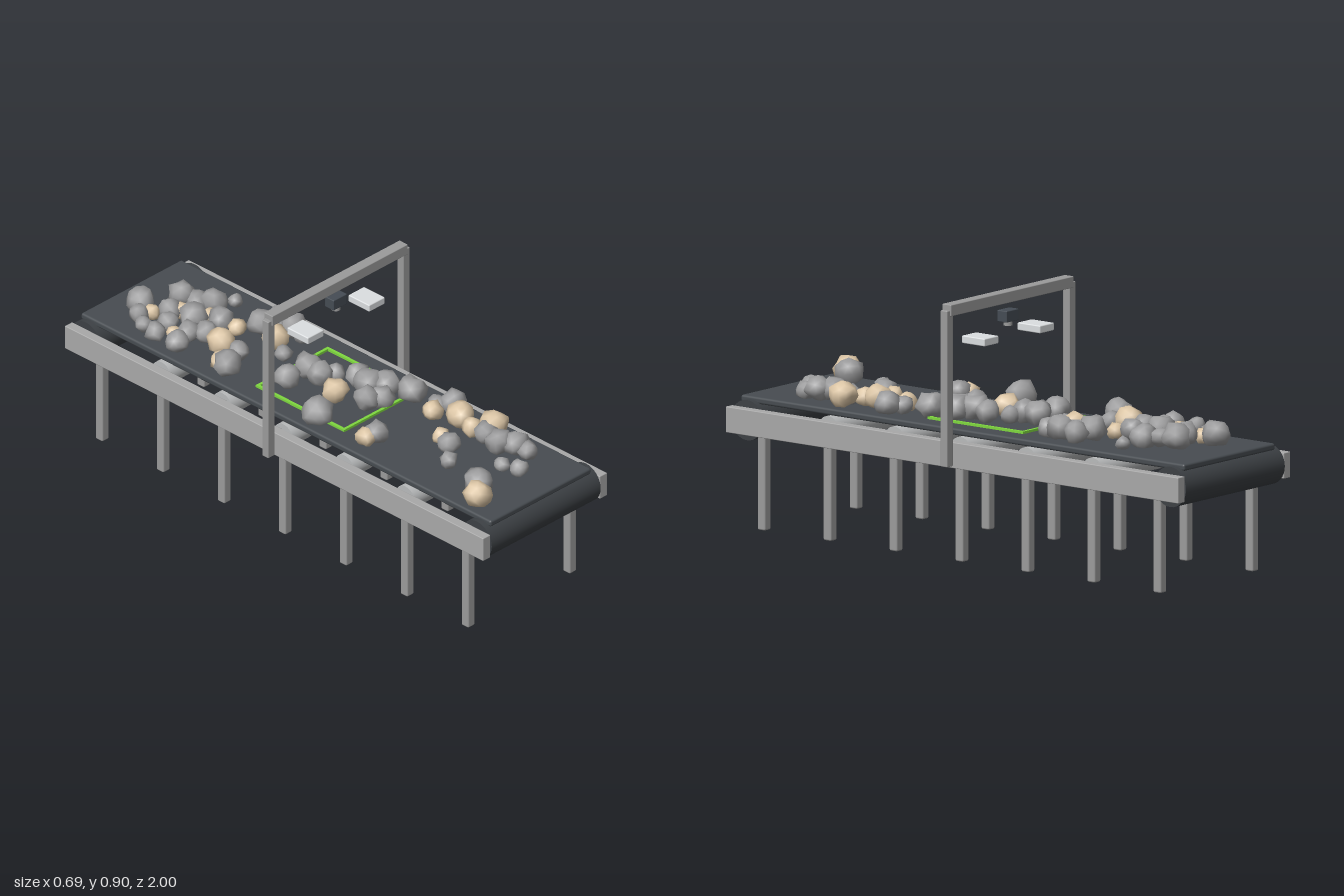
import * as THREE from 'three';
import { mergeVertices } from 'three/addons/utils/BufferGeometryUtils.js';
import { RoundedBoxGeometry } from 'three/addons/geometries/RoundedBoxGeometry.js';

const mat = (name, color) => {
  const m = new THREE.MeshStandardMaterial({ color });
  m.name = name;
  return m;
};

export function createModel() {
  const model = new THREE.Group();
  model.name = 'sortingConveyor';
  const steel = mat('steel grey', 0xa9a9a9);
  const legGrey = mat('leg grey', 0x9b9b9b);
  const rollerGrey = mat('roller grey', 0xb9bbbc);
  const beltDark = mat('belt charcoal', 0x474c51);
  const drumDark = mat('drum charcoal', 0x3d4145);
  const cameraDark = mat('camera slate', 0x454c54);
  const lampGrey = mat('lamp silver', 0xdcdfe1);
  const green = mat('marker green', 0x7fd83f);
  const stone = mat('stone grey', 0x9b9b9c);
  const sand = mat('sandstone', 0xdcc6a6);

  const add = (name, geometry, material, x, y, z, parent = model) => {
    const mesh = new THREE.Mesh(geometry, material);
    mesh.name = name;
    mesh.position.set(x, y, z);
    parent.add(mesh);
    return mesh;
  };
  const box = (w, h, d, r = 0.003) => new RoundedBoxGeometry(w, h, d, 2, r);
  const bar = (r, length) => new THREE.CylinderGeometry(r, r, length, 32).rotateZ(Math.PI / 2);

  // Conveyor bed
  add('belt', box(0.49, 0.024, 1.95, 0.008), beltDark, 0, 0.443, 0);
  for (const s of [-1, 1]) {
    add('endDrum', bar(0.07, 0.53), drumDark, 0, 0.375, s * 0.93);
    add('sideRail', box(0.036, 0.09, 1.99), steel, s * 0.284, 0.375, 0);
  }

  // Idler rollers and legs at a regular pitch
  for (let i = -3; i <= 3; i++) {
    const z = i * 0.29;
    if (Math.abs(i) < 3) add('idlerRoller', bar(0.045, 0.51), rollerGrey, 0, 0.386, z);
    for (const s of [-1, 1]) add('leg', box(0.034, 0.35, 0.034, 0.006), legGrey, s * 0.247, 0.175, z);
  }

  // Inspection gantry
  const gantry = new THREE.Group();
  gantry.name = 'gantry';
  model.add(gantry);
  add('gantryBeam', box(0.66, 0.04, 0.04), legGrey, 0, 0.882, 0, gantry);
  add('cameraBody', box(0.066, 0.04, 0.042), cameraDark, 0, 0.815, 0, gantry);
  add('cameraLens', new THREE.CylinderGeometry(0.016, 0.016, 0.016, 24), legGrey, 0, 0.788, 0, gantry);
  for (const s of [-1, 1]) {
    add('gantryPost', box(0.032, 0.542, 0.03), legGrey, s * 0.329, 0.611, 0, gantry);
    add('lamp', box(0.077, 0.027, 0.1, 0.004), lampGrey, s * 0.149, 0.753, 0, gantry);
  }

  // Scan zone outline on the belt
  for (const s of [-1, 1]) {
    add('scanZoneSide', new THREE.BoxGeometry(0.011, 0.009, 0.417), green, s * 0.17, 0.459, 0);
    add('scanZoneEnd', new THREE.BoxGeometry(0.351, 0.009, 0.011), green, 0, 0.459, s * 0.205);
  }

  // Lumpy rocks with smooth shading: x, z, radius in hundredths
  let seed = 7;
  const random = () => (seed = (seed * 16807) % 2147483647) / 2147483647;
  const rock = (r) => {
    let g = new THREE.IcosahedronGeometry(r, 1);
    g.deleteAttribute('uv');
    g.deleteAttribute('normal');
    g = mergeVertices(g, 1e-5);
    const p = g.attributes.position;
    for (let i = 0; i < p.count; i++) {
      const k = 0.84 + random() * 0.32;
      p.setXYZ(i, p.getX(i) * k, p.getY(i) * k * 0.94, p.getZ(i) * k);
    }
    g.rotateY(random() * 6.28);
    g.computeVertexNormals();
    return g;
  };
  const rocks = (name, material, data) => {
    const group = new THREE.Group();
    group.name = name;
    model.add(group);
    for (const [x, z, r] of data) {
      add('rock', rock(r / 100), material, x / 100, 0.453 + r * 0.0084, z / 100, group);
    }
  };
  rocks('rearStones', stone, [
    [-9, -84, 5], [-14, -80, 3.6], [4, -77, 5], [-5, -74, 4], [-17.5, -74.5, 3],
    [-19, -67.5, 3.6], [-11, -69, 3.6], [-4, -64, 5], [8.5, -66.5, 4.6], [5, -71, 4],
    [16, -63.5, 2.5], [-18.5, -57.5, 4], [-11.5, -59, 4.2], [-7.5, -54.5, 4.2], [2, -56.5, 4.4],
    [9.5, -45, 5], [17, -44, 4.2], [15.5, -36, 4.8], [11, -40, 4], [15, -30, 3.8],
    [-18, -34, 5], [-8, -38.5, 3.8], [2, -27, 3.2],
  ]);
  rocks('middleStones', stone, [
    [-9.5, -14, 4.6], [0.5, -14, 4.8], [0.5, -8, 4.6], [5, -5, 3.4], [-19, 10, 5.5],
    [-0.5, 15, 4.6], [7, 8.5, 5], [11, 13.5, 5], [4, 18, 4.2], [14, 22.5, 5], [8.5, 2, 4.5],
  ]);
  rocks('frontStones', stone, [
    [-13.5, 32.5, 4.2], [18.5, 37.5, 4.6], [14.5, 34, 3.6], [-1.5, 55, 4], [12.5, 59, 4],
    [-8.5, 62, 3.2], [11, 67, 4.6], [14, 72, 4.6], [14.5, 77, 3.5], [2.5, 76.5, 2.8],
    [4.5, 83, 3.2], [-13.5, 81, 5.2],
  ]);
  rocks('sandstones', sand, [
    [-9.5, -78, 3], [-2, -71, 3.2], [-14.5, -63, 2.8], [2.5, -62, 2.8], [-9, -46, 5],
    [3, -50, 3.2], [-17, -38, 3.8], [6.5, -35, 4.6], [-4, 3.5, 4.5], [-17.5, 31.5, 3.6],
    [10.5, 36, 3.6], [14, 46, 5], [1, 49, 3.2], [18, 58, 5], [12, 53, 3.6], [-19, 86, 4.8],
  ]);

  return model;
}
